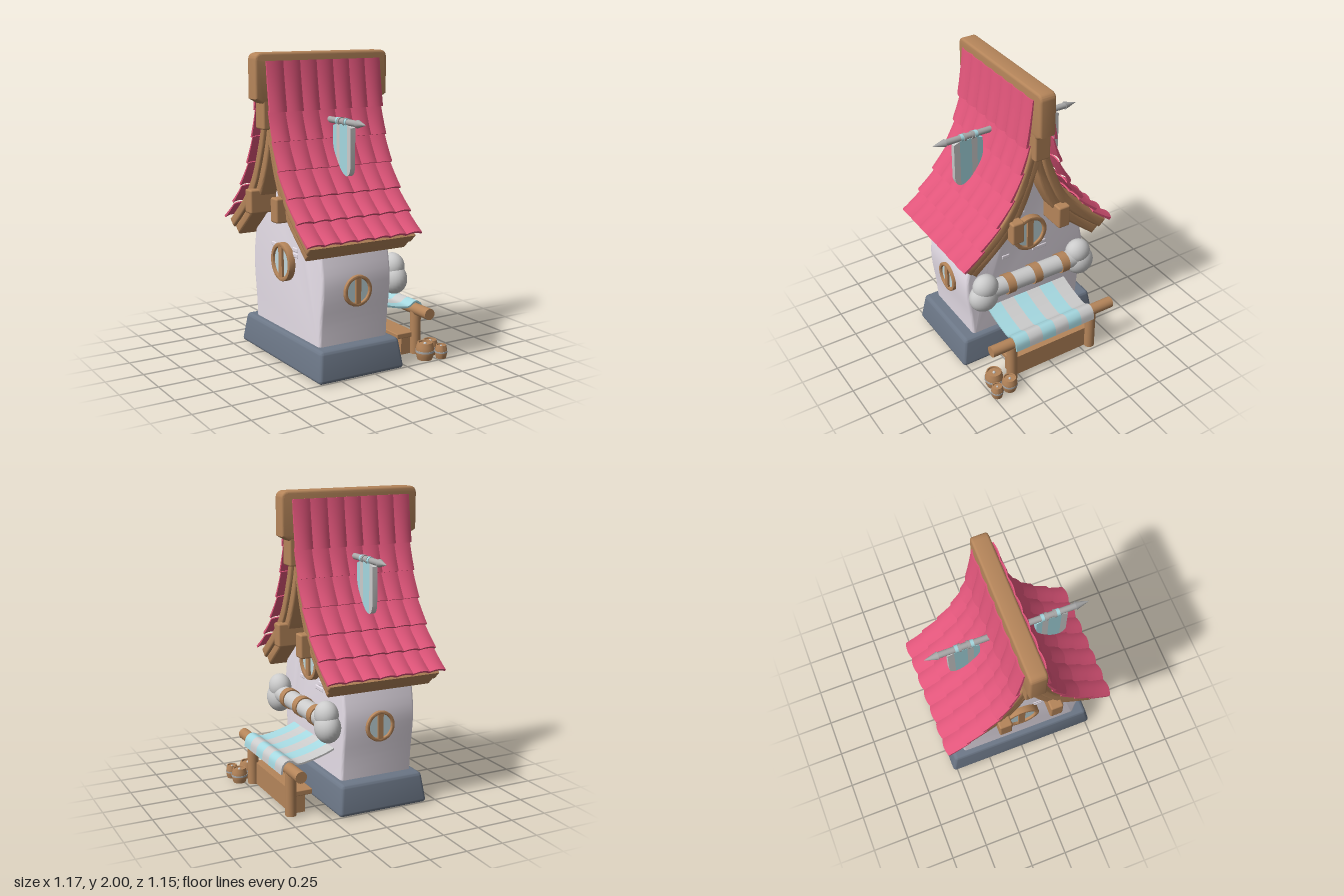
import * as THREE from 'three';
import { toCreasedNormals } from 'three/addons/utils/BufferGeometryUtils.js';
import { RoundedBoxGeometry } from 'three/addons/geometries/RoundedBoxGeometry.js';

const mat = (color) => new THREE.MeshStandardMaterial({ color });
const WOOD = mat(0xb5855a), ROOF = mat(0xe0557a), WALL = mat(0xe6dee8), STONE = mat(0x6c7787);
const GREY = mat(0xcccccc), DARK = mat(0xa8a8a8), BLUE = mat(0xa5d8e0), GLASS = mat(0xc0d6da);
const CX = -0.107; // middle of the house

function add(parent, name, geo, material, x = 0, y = 0, z = 0) {
  const m = new THREE.Mesh(geo, material);
  m.name = name;
  m.position.set(x, y, z);
  parent.add(m);
  return m;
}
const v2 = (p) => new THREE.Vector2(p[0], p[1]);
const spline = (pts, n) => new THREE.SplineCurve(pts.map(v2)).getPoints(n);

// Extrude an outline given in (z, y) along x, centred on x = 0
function extrudeX(points, width, bevel = 0) {
  const g = new THREE.ExtrudeGeometry(new THREE.Shape(points), {
    depth: width - 2 * bevel, bevelEnabled: bevel > 0, bevelThickness: bevel,
    bevelSize: bevel, bevelOffset: -bevel, bevelSegments: 3,
  });
  g.translate(0, 0, bevel - width / 2);
  g.rotateY(-Math.PI / 2);
  return toCreasedNormals(g, 0.6);
}

// Cylinder lying along z
function rodZ(r0, r1, len, seg = 20) {
  return new THREE.CylinderGeometry(r1, r0, len, seg).rotateX(Math.PI / 2);
}

// Roof curve: outer and inner edge, from ridge to eave
const OUTER = spline([[0.035, 1.7], [0.07, 1.55], [0.12, 1.4], [0.21, 1.2], [0.345, 1.035], [0.54, 0.87]], 20);
const INNER = spline([[0, 1.42], [0.035, 1.3], [0.08, 1.19], [0.15, 1.06], [0.26, 0.94], [0.445, 0.78]], 20);
const roofLine = (t) => OUTER.map((p, i) => p.clone().lerp(INNER[i], t));
const flip = (pts) => pts.map((p) => new THREE.Vector2(-p.x, p.y)).reverse();

function roofBand(t0, t1) {
  const a = roofLine(t0), b = roofLine(t1);
  if (b[0].x < 0.001) b.shift();
  const apex = t1 === 1 ? [new THREE.Vector2(0, 1.42)] : [];
  return [...flip(a), ...a, ...b.reverse(), ...apex, ...flip(b)];
}

// Round window facing +z
function roundWindow(name, r) {
  const g = new THREE.Group();
  g.name = name;
  const ring = new THREE.Shape().absarc(0, 0, r - 0.006, 0, Math.PI * 2);
  ring.holes.push(new THREE.Path().absarc(0, 0, r * 0.78 + 0.006, 0, Math.PI * 2, true));
  const geo = new THREE.ExtrudeGeometry(ring, {
    depth: 0.045, bevelThickness: 0.006, bevelSize: 0.006, bevelSegments: 2, curveSegments: 32,
  });
  add(g, 'windowFrame', toCreasedNormals(geo.translate(0, 0, -0.03), 0.6), WOOD);
  add(g, 'windowPane', rodZ(r * 0.8, r * 0.8, 0.04, 32), GLASS, 0, 0, -0.015);
  add(g, 'windowBar', new THREE.BoxGeometry(r * 0.36, r * 1.7, 0.04), WOOD);
  return g;
}

// One row of seven arched tiles, thin at the top and lifted at the bottom edge
function tileRow(bottom, top) {
  const n = 7, seg = 8, w = 0.825 / n, upper = [], lower = [];
  for (let i = 0; i <= n * seg; i++) {
    const u = (i % seg) / seg, arch = 0.018 * 4 * u * (1 - u);
    const x = -0.4125 + (i / seg) * w;
    upper.push(new THREE.Vector2(x, arch + 0.018));
    lower.push(new THREE.Vector2(x, arch));
  }
  const dz = bottom[0] - top[0], dy = bottom[1] - top[1], len = Math.hypot(dz, dy);
  const g = new THREE.ExtrudeGeometry(new THREE.Shape([...lower, ...upper.reverse()]), { depth: len, steps: 4, bevelEnabled: false });
  const p = g.attributes.position;
  for (let i = 0; i < p.count; i++) {
    const t = p.getZ(i) / len;
    p.setY(i, p.getY(i) * (0.45 + 0.55 * t) + 0.012 * t * t);
  }
  g.applyMatrix4(new THREE.Matrix4().makeBasis(
    new THREE.Vector3(1, 0, 0), new THREE.Vector3(0, dz / len, -dy / len), new THREE.Vector3(0, dy / len, dz / len)));
  return toCreasedNormals(g.translate(0, top[1], top[0]), 0.45);
}

// Pointed pole with a striped banner, reaching out over the roof
function bannerPole() {
  const g = new THREE.Group();
  g.name = 'bannerPole';
  const y = 1.58;
  add(g, 'pole', rodZ(0.02, 0.02, 0.35), DARK, 0, y, 0.27);
  add(g, 'poleTip', rodZ(0.026, 0.002, 0.085), DARK, 0, y, 0.483);
  [0.225, 0.325].forEach((z) => add(g, 'blueRing', rodZ(0.024, 0.024, 0.02), BLUE, 0, y, z));
  [0.25, 0.305].forEach((z) => add(g, 'greyRing', rodZ(0.026, 0.026, 0.016), DARK, 0, y, z));
  const edge = spline([[0.183, 1.44], [0.2, 1.39], [0.25, 1.315], [0.3, 1.265], [0.345, 1.25], [0.375, 1.27], [0.388, 1.31]], 40);
  const bottomAt = (z) => {
    const i = Math.max(1, edge.findIndex((p) => p.x >= z)), a = edge[i - 1], b = edge[i];
    return a.y + (b.y - a.y) * (z - a.x) / (b.x - a.x);
  };
  const cuts = [0.183, 0.222, 0.262, 0.345, 0.387];
  for (let k = 0; k < 4; k++) {
    const z0 = cuts[k], z1 = cuts[k + 1], pts = [];
    for (let i = 0; i <= 8; i++) {
      const z = z0 + (z1 - z0) * i / 8;
      pts.push(new THREE.Vector2(z, bottomAt(z)));
    }
    pts.push(new THREE.Vector2(z1, k === 3 ? 1.55 : 1.565), new THREE.Vector2(z0, k === 0 ? 1.55 : 1.565));
    add(g, 'bannerStripe', extrudeX(pts, 0.034), k % 2 ? GREY : BLUE);
  }
  return g;
}

function buildHouse() {
  const house = new THREE.Group();
  house.name = 'house';
  house.position.x = CX;

  // Tapered stone base
  const base = new RoundedBoxGeometry(0.63, 0.2, 1.06, 3, 0.025);
  const p = base.attributes.position;
  for (let i = 0; i < p.count; i++) {
    const t = (p.getY(i) + 0.1) / 0.2;
    p.setX(i, p.getX(i) * (1 - 0.09 * t));
    p.setZ(i, p.getZ(i) * (1 - 0.06 * t));
  }
  add(house, 'base', toCreasedNormals(base, 0.6), STONE, 0, 0.11, 0);

  // Bulging walls with a gable that follows the roof
  const side = spline([[0.415, 0.18], [0.428, 0.35], [0.45, 0.52], [0.452, 0.65], [0.425, 0.8]], 14);
  const gable = roofLine(0.6).filter((q) => q.x < 0.41).reverse();
  add(house, 'walls', extrudeX([...side, ...gable, ...flip(gable), ...flip(side)], 0.5, 0.018), WALL);

  // Small raised bricks on both gable walls
  [[0.16, 0.755, 0.06], [-0.1, 0.735, 0.11], [0.03, 1.055, 0.03], [-0.12, 0.77, 0.06]].forEach(([z, y, w]) =>
    [-1, 1].forEach((s) => add(house, 'brick', new RoundedBoxGeometry(0.016, 0.03, w, 2, 0.007), WALL, s * 0.247, y, z * s)));

  // Wooden roof deck in two stepped layers
  add(house, 'roofDeck', extrudeX(roofBand(0, 0.52), 0.77, 0.014), WOOD);
  add(house, 'roofTrim', extrudeX(roofBand(0.48, 1), 0.735, 0.014), WOOD);

  // Ridge beam and the post below it
  const r = new THREE.Shape();
  r.moveTo(-0.425, 1.69).lineTo(0.425, 1.69).lineTo(0.478, 1.72).lineTo(0.478, 1.95);
  r.quadraticCurveTo(0.478, 2, 0.428, 2).lineTo(-0.428, 2).quadraticCurveTo(-0.478, 2, -0.478, 1.95).lineTo(-0.478, 1.72);
  const ridge = new THREE.ExtrudeGeometry(r, {
    depth: 0.08, bevelThickness: 0.015, bevelSize: 0.015, bevelOffset: -0.015, bevelSegments: 3,
  });
  add(house, 'ridgeBeam', toCreasedNormals(ridge.translate(0, 0, -0.04), 0.6), WOOD);
  add(house, 'ridgePost', new RoundedBoxGeometry(0.855, 0.2, 0.11, 2, 0.012), WOOD, 0, 1.63, 0);

  // Both slopes: tiles, purlin, window, banner
  const bottoms = [[0.54, 0.87], [0.417, 0.99], [0.3, 1.125], [0.197, 1.285], [0.125, 1.46], [0.083, 1.64]];
  const tops = [[0.405, 0.995], [0.29, 1.13], [0.188, 1.295], [0.122, 1.47], [0.08, 1.65], [0.06, 1.95]];
  [0, Math.PI].forEach((turn) => {
    const slope = new THREE.Group();
    slope.name = turn ? 'backSlope' : 'frontSlope';
    slope.rotation.y = turn;
    bottoms.forEach((b, i) => add(slope, 'tileRow', tileRow(b, tops[i]), ROOF));
    add(slope, 'purlin', new RoundedBoxGeometry(0.86, 0.155, 0.085, 2, 0.012), WOOD, 0, 1.05, 0.172);
    const win = roundWindow('slopeWindow', 0.1);
    win.position.set(0, 0.55, 0.452);
    const pole = bannerPole();
    pole.position.x = turn ? -0.007 : 0.007;
    slope.add(win, pole);
    house.add(slope);
  });

  // Gable windows, one high and one low
  [[1, 0.9], [-1, 0.67]].forEach(([s, y]) => {
    const win = roundWindow('gableWindow', 0.125);
    win.rotation.y = s * Math.PI / 2;
    win.position.set(s * 0.272, y, -0.005);
    house.add(win);
  });
  return house;
}

// Big bone held by wooden rings above the stall
function buildBone() {
  const g = new THREE.Group();
  g.name = 'bone';
  g.position.set(0.22, 0.6, 0);
  add(g, 'shaft', rodZ(0.06, 0.06, 0.66, 24), GREY);
  [-1, 1].forEach((s) => {
    add(g, 'upperKnob', new THREE.SphereGeometry(0.088, 24, 16), GREY, 0, 0.042, s * 0.36).scale.x = 0.85;
    add(g, 'lowerKnob', new THREE.SphereGeometry(0.1, 24, 16), GREY, 0, -0.036, s * 0.375).scale.x = 0.82;
  });
  [0.19, -0.015, -0.23].forEach((z) => {
    add(g, 'boneRing', rodZ(0.068, 0.068, 0.058, 24), WOOD, 0, 0, z);
    add(g, 'ringBracket', new THREE.BoxGeometry(0.08, 0.04, 0.04), WOOD, -0.07, 0, z);
  });
  return g;
}

function buildStall() {
  const g = new THREE.Group();
  g.name = 'stall';
  // Striped awning draped over the pole
  const cloth = spline([[0.13, 0.4], [0.2, 0.372], [0.3, 0.345], [0.39, 0.332], [0.43, 0.354], [0.465, 0.36], [0.5, 0.33], [0.51, 0.275]], 28);
  const under = cloth.map((q, i) => {
    const t = cloth[Math.min(i + 1, 28)].clone().sub(cloth[Math.max(i - 1, 0)]).normalize();
    return new THREE.Vector2(q.x + t.y * 0.012, q.y - t.x * 0.012);
  });
  const outline = new THREE.Shape([...cloth, ...under.reverse()]);
  for (let k = 0; k < 6; k++) {
    const geo = new THREE.ExtrudeGeometry(outline, { depth: 0.102, bevelEnabled: false });
    add(g, 'awningStripe', toCreasedNormals(geo, 0.7), k % 2 ? BLUE : GREY, 0, 0, -0.308 + 0.102 * k);
  }
  // Timber frame and counter
  add(g, 'awningPole', rodZ(0.038, 0.038, 0.945, 24), WOOD, 0.45, 0.307, -0.01);
  [0.305, -0.32].forEach((z) => add(g, 'leg', new THREE.CylinderGeometry(0.036, 0.036, 0.29, 24), WOOD, 0.45, 0.148, z));
  add(g, 'counterTop', new RoundedBoxGeometry(0.13, 0.035, 0.635, 2, 0.006), WOOD, 0.365, 0.137, -0.005);
  add(g, 'counterPanel', new THREE.BoxGeometry(0.095, 0.152, 0.6), WOOD, 0.3925, 0.078, -0.005);

  // Small barrels beside the stall: x, z, radius, height
  [[0.436, 0.435, 0.062, 0.115], [0.526, 0.37, 0.053, 0.1], [0.54, 0.473, 0.041, 0.09]].forEach(([x, z, r, h]) => {
    const barrel = new THREE.Group();
    barrel.name = 'barrel';
    barrel.position.set(x, 0, z);
    const body = [[0, 0], [0.78, 0], [0.93, 0.25], [1, 0.5], [0.93, 0.75], [0.8, 1], [0.68, 1], [0.66, 0.9], [0, 0.9]];
    const geo = new THREE.LatheGeometry(body.map(([a, b]) => new THREE.Vector2(a * r, b * h)), 24);
    add(barrel, 'barrelBody', toCreasedNormals(geo, 0.6), WOOD);
    add(barrel, 'hoop', new THREE.CylinderGeometry(r * 1.02, r * 1.02, h * 0.12, 24), DARK, 0, h * 0.5, 0);
    add(barrel, 'bung', new THREE.SphereGeometry(r * 0.17, 12, 8), GREY, 0, h * 0.91, 0);
    g.add(barrel);
  });
  return g;
}

export function createModel() {
  const model = new THREE.Group();
  model.name = 'cottage';
  model.add(buildHouse(), buildBone(), buildStall());
  return model;
}
